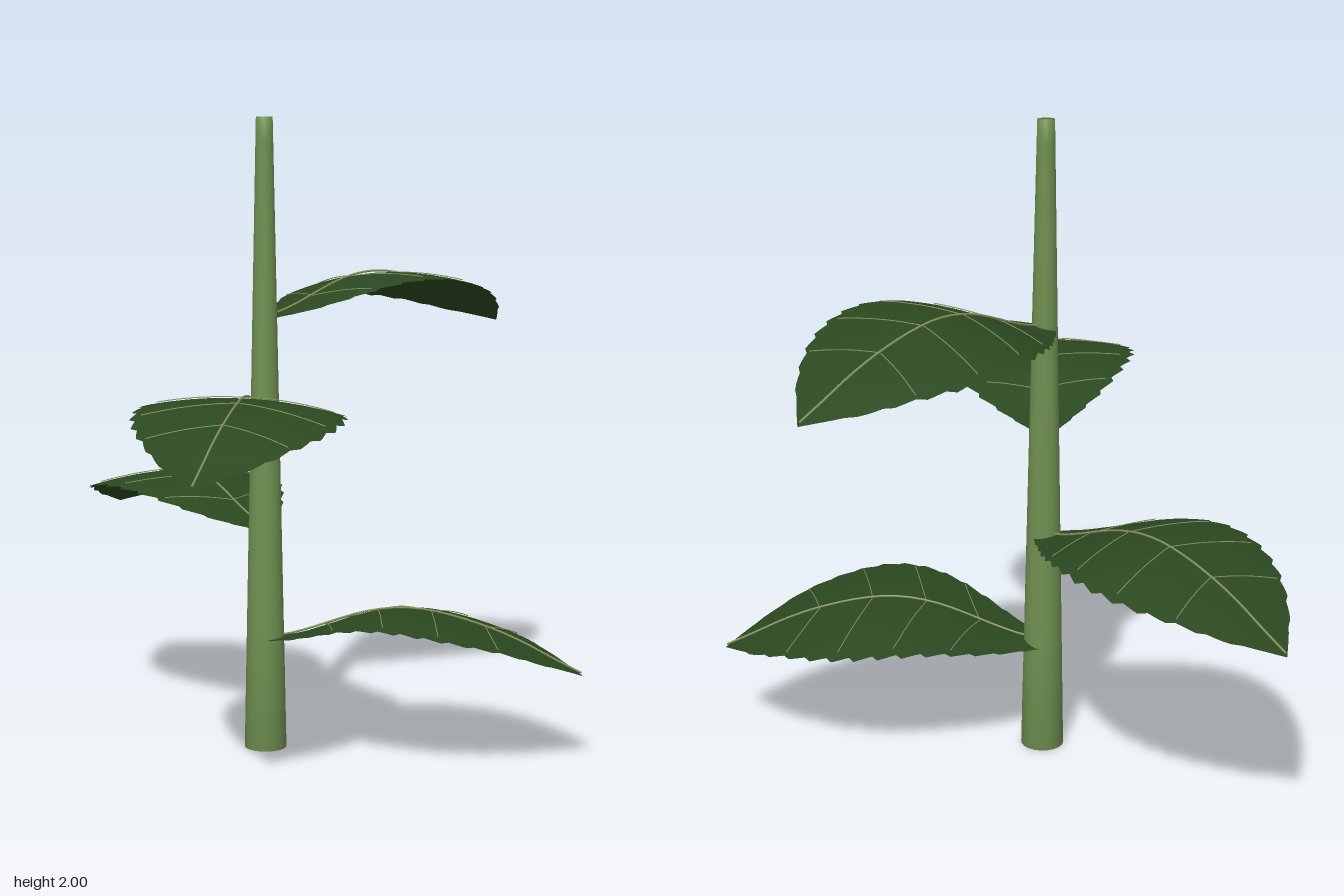
import * as THREE from 'three';

const stemMat = new THREE.MeshStandardMaterial({ name: 'stem green', color: 0x6f8f50 });
const leafMat = new THREE.MeshStandardMaterial({ name: 'leaf green', color: 0x2a4820, side: THREE.DoubleSide });
const veinMat = new THREE.MeshStandardMaterial({ name: 'vein olive', color: 0x8a945a });

// Leaf profile: distance along the leaf, midrib height, half width
const profile = new THREE.CatmullRomCurve3([
  [0, 0, 0.045], [0.1, 0.022, 0.115], [0.2, 0.058, 0.188], [0.3, 0.095, 0.248], [0.4, 0.118, 0.29],
  [0.5, 0.122, 0.31], [0.6, 0.107, 0.302], [0.7, 0.08, 0.268], [0.8, 0.044, 0.21], [0.9, -0.005, 0.13],
  [1.015, -0.06, 0],
].map((p) => new THREE.Vector3(...p)));

const TEETH = 14;

// Point on the blade: t runs base to tip, s runs from -1 to 1 across
function bladePoint({ roll, sway }, t, s, lift = 0) {
  const p = profile.getPoint(t);
  const tooth = ((t * TEETH) % 1) - 0.5;
  const w = s * p.z * (1 + 0.08 * tooth * Math.pow(Math.abs(s), 6));
  // edges droop, the blade rolls to one side and the midrib bows sideways
  const y = p.y - 0.4 * w * w + roll * w + lift;
  return new THREE.Vector3(p.x, y, w + sway * Math.sin(Math.PI * t));
}

function bladeGeometry(leaf) {
  const rows = TEETH * 4, cols = 10;
  const pos = [], idx = [];
  for (let i = 0; i <= rows; i++) {
    for (let j = 0; j <= cols; j++) {
      pos.push(...bladePoint(leaf, i / rows, (j / cols) * 2 - 1).toArray());
      if (i === rows || j === cols) continue;
      const a = i * (cols + 1) + j, b = a + cols + 1;
      idx.push(a, a + 1, b, a + 1, b + 1, b);
    }
  }
  const g = new THREE.BufferGeometry();
  g.setAttribute('position', new THREE.Float32BufferAttribute(pos, 3));
  g.setIndex(idx);
  g.computeVertexNormals();
  return g;
}

// Thin tube lying just above the blade from (t0, 0) to (t1, s1)
function veinGeometry(leaf, t0, t1, s1, radius, lift) {
  const pts = [];
  for (let i = 0; i <= 12; i++) {
    const k = i / 12;
    pts.push(bladePoint(leaf, t0 + (t1 - t0) * k, s1 * k, lift));
  }
  return new THREE.TubeGeometry(new THREE.CatmullRomCurve3(pts), 24, radius, 5);
}

function mesh(name, geometry, material) {
  const m = new THREE.Mesh(geometry, material);
  m.name = name;
  return m;
}

function makeLeaf(leaf) {
  const group = new THREE.Group();
  group.name = 'leaf';
  group.add(mesh('blade', bladeGeometry(leaf), leafMat));
  group.add(mesh('midrib', veinGeometry(leaf, 0, 0.995, 0, 0.0035, 0.008), veinMat));
  for (const t of [0.2, 0.37, 0.54, 0.71]) {
    for (const side of [-1, 1]) {
      group.add(mesh('sideVein', veinGeometry(leaf, t, t + 0.07, side * 0.9, 0.0016, 0.004), veinMat));
    }
  }
  return group;
}

export function createModel() {
  const plant = new THREE.Group();
  plant.name = 'plant';

  // Tapered stem with softly shaded ends, off centre so the leaves balance
  const outline = [[0, 0], [0.067, 0], [0.0588, 0.4], [0.0465, 1], [0.0275, 1.93], [0.026, 2], [0, 2]];
  const stem = mesh('stem', new THREE.LatheGeometry(outline.map((p) => new THREE.Vector2(...p)), 20), stemMat);
  stem.position.set(-0.135, 0, -0.09);
  plant.add(stem);

  // Leaves spiral up the stem, each with its own heading, roll and bow
  const leaves = [
    { y: 0.35, heading: 0.5, roll: 0.1, sway: 0.015 },
    { y: 0.71, heading: 136, roll: -0.03, sway: -0.005 },
    { y: 1.055, heading: 274, roll: 0.035, sway: -0.03 },
    { y: 1.375, heading: 54, roll: 0.105, sway: -0.015 },
  ];
  for (const leaf of leaves) {
    const group = makeLeaf(leaf);
    group.position.set(-0.137, leaf.y, -0.097);
    group.rotation.y = THREE.MathUtils.degToRad(leaf.heading);
    plant.add(group);
  }
  return plant;
}
